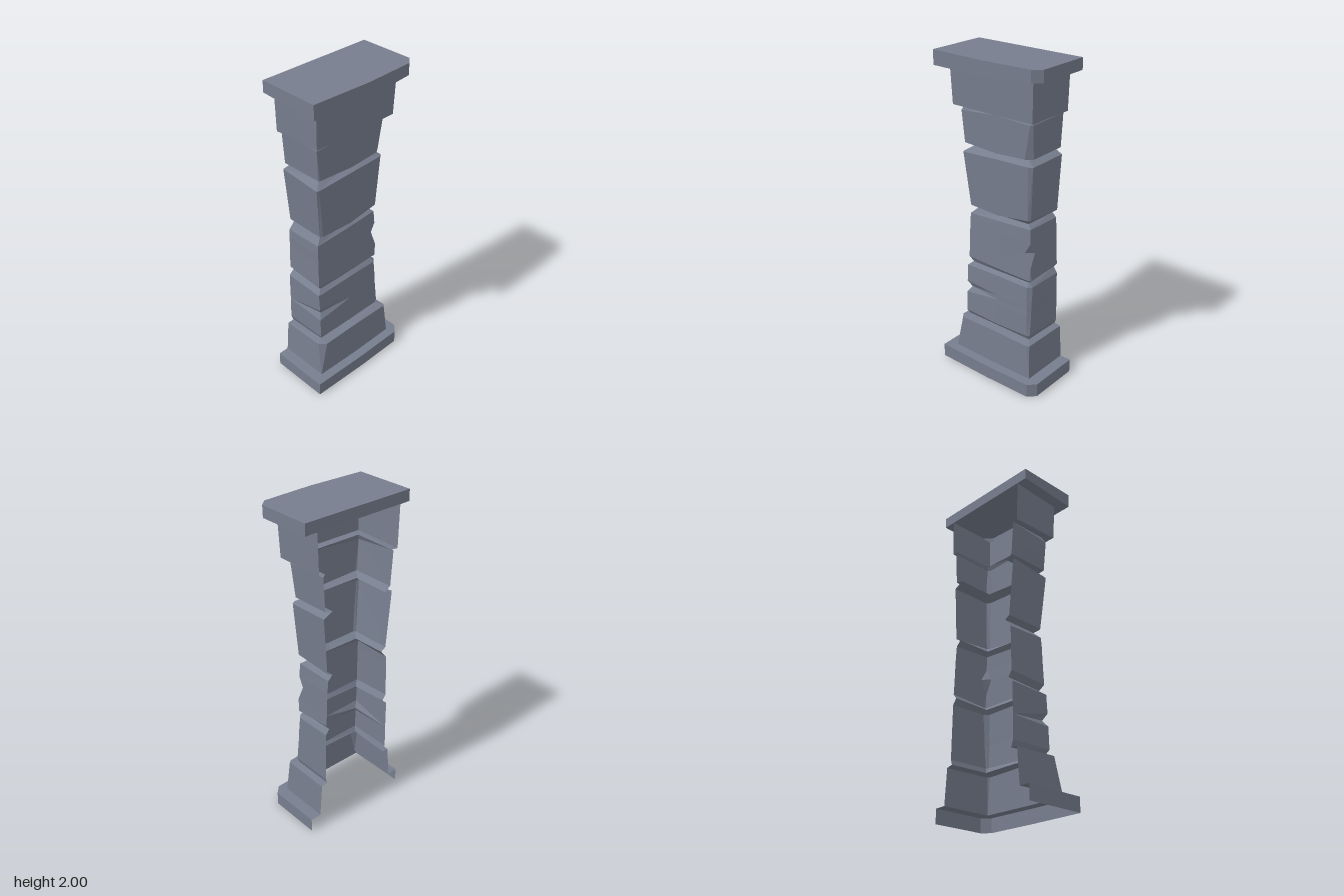
import * as THREE from 'three';

const OPEN_X = -0.197; // the pillar is a half column, open on this side

// One U-shaped course outline, running front -> +x side -> back.
// y: heights at [front open end, front corner, side middle, back corner, back open end]
// cf / cb: front / back corner chamfers [along x, along z]; dent pushes the front corner inward
function ring(x, zf, zb, y, { cf = [0, 0], cb = [0, 0], dent = 0, bulge = 0.005 } = {}) {
  const h = Array.isArray(y) ? y : [y, y, y, y, y];
  return [
    [OPEN_X, h[0], zf],
    [x - cf[0] - dent, h[1], zf - dent],
    [x - dent, h[1], zf - cf[1] - dent],
    [x + bulge, h[2], 0],
    [x, h[3], zb + cb[1]],
    [x - cb[0], h[3], zb],
    [OPEN_X, h[4], zb],
  ];
}

// Skin a stack of rings (bottom to top) with flat faces
function shell(rings, cap = false) {
  const pos = [];
  const quad = (a, b, c, d) => pos.push(...a, ...b, ...c, ...a, ...c, ...d);
  for (let r = 0; r < rings.length - 1; r++) {
    const lo = rings[r], hi = rings[r + 1];
    for (let i = 0; i < lo.length - 1; i++) quad(lo[i], lo[i + 1], hi[i + 1], hi[i]);
  }
  if (cap) {
    // top surface and the closed edge of the slab
    const top = rings[rings.length - 1], low = rings[rings.length - 2], n = top.length - 1;
    for (let i = 1; i < n; i++) pos.push(...top[0], ...top[i], ...top[i + 1]);
    quad(low[n], low[0], top[0], top[n]);
  }
  const geo = new THREE.BufferGeometry();
  geo.setAttribute('position', new THREE.Float32BufferAttribute(pos, 3));
  geo.computeVertexNormals();
  return geo;
}

export function createModel() {
  const group = new THREE.Group();
  const stone = new THREE.MeshStandardMaterial({ color: 0x767d8d, side: THREE.DoubleSide, flatShading: true });
  stone.name = 'greyStone';
  const add = (name, rings, cap) => {
    const mesh = new THREE.Mesh(shell(rings, cap), stone);
    mesh.name = name;
    group.add(mesh);
  };

  // Narrow joints shared by neighbouring stones
  const j1 = ring(0.06, 0.235, -0.235, [0.3, 0.315, 0.32, 0.315, 0.31]);
  const j2 = ring(0.04, 0.215, -0.215, [0.7, 0.685, 0.69, 0.69, 0.7]);
  const j3 = ring(0.02, 0.19, -0.19, [1.055, 1.05, 1.05, 1.055, 1.06]);
  const j4 = ring(0.03, 0.2, -0.19, [1.44, 1.445, 1.445, 1.455, 1.46]);
  const j5 = ring(0.065, 0.24, -0.24, [1.685, 1.69, 1.69, 1.69, 1.69]);

  // Base slab with ledge
  const slabCut = { cb: [0.045, 0.045], bulge: 0.005 };
  const ledge = ring(0.125, 0.295, -0.29, 0.088);
  add('baseSlab', [
    ring(0.18, 0.363, -0.36, 0, slabCut),
    ring(0.18, 0.363, -0.36, 0.086, slabCut),
    ledge,
  ]);

  // Tapered base stone, chipped at its upper corners
  add('baseStone', [
    ledge,
    ring(0.117, 0.278, -0.275, [0.297, 0.305, 0.315, 0.305, 0.3], { cf: [0.035, 0.04], cb: [0.01, 0.015] }),
    j1,
  ]);

  // First stone, with a wedge-shaped dent in the front corner
  add('lowerStone', [
    j1,
    ring(0.077, 0.25, -0.245, [0.34, 0.345, 0.34, 0.345, 0.34], { cb: [0.01, 0.015] }),
    ring(0.073, 0.249, -0.243, [0.482, 0.475, 0.48, 0.48, 0.48], { cb: [0.02, 0.02] }),
    ring(0.071, 0.248, -0.242, [0.486, 0.51, 0.51, 0.51, 0.51], { dent: 0.022, cb: [0.02, 0.02] }),
    ring(0.07, 0.248, -0.242, [0.49, 0.55, 0.54, 0.54, 0.54], { cb: [0.02, 0.02] }),
    ring(0.063, 0.248, -0.24, [0.67, 0.66, 0.67, 0.665, 0.665], { cb: [0.025, 0.025] }),
    j2,
  ]);

  // Second stone, with a chip in the back corner
  add('middleStone', [
    j2,
    ring(0.057, 0.24, -0.238, [0.735, 0.72, 0.715, 0.71, 0.73], { cb: [0.01, 0.01] }),
    ring(0.054, 0.238, -0.234, 0.79),
    ring(0.051, 0.236, -0.231, 0.88, { cb: [0.04, 0.042] }),
    ring(0.049, 0.235, -0.228, 0.95),
    ring(0.045, 0.232, -0.222, [1.005, 1.01, 1.025, 1.035, 1.03]),
    j3,
  ]);

  // Third stone, widening upward
  add('upperStone', [
    j3,
    ring(0.063, 0.222, -0.228, [1.075, 1.075, 1.07, 1.095, 1.08], { cf: [0.01, 0.015], cb: [0.015, 0.015] }),
    ring(0.077, 0.257, -0.25, [1.43, 1.405, 1.42, 1.425, 1.43], { cf: [0.005, 0.015], cb: [0.015, 0.025] }),
    j4,
  ]);

  // Fourth stone
  add('topStone', [
    j4,
    ring(0.077, 0.242, -0.24, [1.463, 1.465, 1.455, 1.465, 1.47], { cf: [0.005, 0.01], cb: [0.03, 0.04] }),
    ring(0.079, 0.257, -0.251, [1.675, 1.655, 1.675, 1.665, 1.675], { cb: [0.01, 0.015] }),
    j5,
  ]);

  // Capital stone
  const neck = ring(0.123, 0.295, -0.288, [1.93, 1.915, 1.915, 1.925, 1.93]);
  add('capitalStone', [
    j5,
    ring(0.115, 0.288, -0.28, [1.68, 1.69, 1.69, 1.69, 1.69]),
    neck,
  ]);

  // Top slab
  const topCut = { cb: [0.043, 0.048], bulge: 0.013 };
  add('topSlab', [
    neck,
    ring(0.181, 0.363, -0.367, [1.932, 1.913, 1.915, 1.93, 1.932], topCut),
    ring(0.182, 0.363, -0.367, 2, topCut),
  ], true);

  return group;
}
